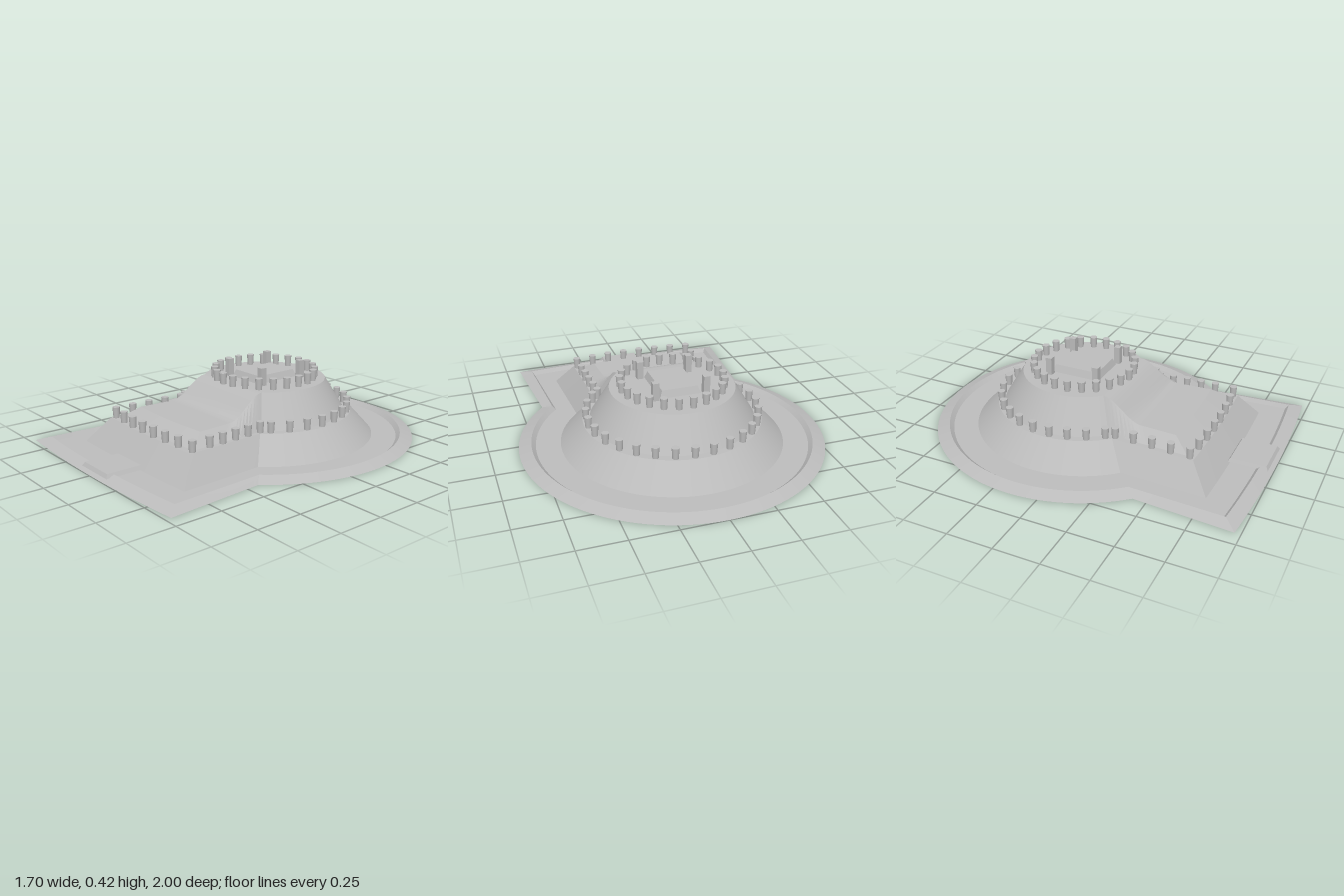
import * as THREE from 'three';
import { toCreasedNormals } from 'three/addons/utils/BufferGeometryUtils.js';

const CZ = -0.15; // centre of the round part
const ARC = 80, SIDE = 18, FRONT = 12;
const SUMMIT = 0.32, TERRACE = 0.14, FLOOR = 0.003;

// Closed keyhole outline: round back, waist, flared sides and a gently bowed front.
function outline(R, waist, frontX, frontZ, bow, height) {
  const pts = [];
  const add = (x, z) => pts.push([x, typeof height === 'function' ? height(z) : height, z]);
  const phi = Math.acos(waist / R);
  const waistZ = CZ + R * Math.sin(phi);
  for (let i = 0; i <= ARC; i++) {
    const a = -phi + (Math.PI + 2 * phi) * i / ARC;
    add(R * Math.cos(a), CZ - R * Math.sin(a));
  }
  const side = (s, t) => add(s * THREE.MathUtils.lerp(waist, frontX, t), THREE.MathUtils.lerp(waistZ, frontZ, t));
  for (let i = 1; i <= SIDE; i++) side(-1, i / SIDE);
  for (let i = 1; i < FRONT; i++) {
    const u = -1 + 2 * i / FRONT;
    add(u * frontX, frontZ + bow * (1 - u * u));
  }
  for (let i = SIDE; i >= 1; i--) side(1, i / SIDE);
  return pts;
}

function fromTriangles(tris) {
  const g = new THREE.BufferGeometry();
  g.setAttribute('position', new THREE.Float32BufferAttribute(tris.flat(2), 3));
  return toCreasedNormals(g, 0.33);
}

// Bands between successive outlines, ordered from outside to inside.
function loft(rings) {
  const tris = [];
  for (let r = 0; r + 1 < rings.length; r++) {
    const a = rings[r], b = rings[r + 1], n = a.length;
    for (let i = 0; i < n; i++) {
      const j = (i + 1) % n;
      tris.push([a[i], a[j], b[j]], [a[i], b[j], b[i]]);
    }
  }
  return tris;
}

// Round summit, ramp and front platform, closing the uppermost outline.
function capTop(ring) {
  const tris = [], n = ring.length, centre = [0, SUMMIT, CZ];
  for (let i = 0; i < ARC; i++) tris.push([centre, ring[i], ring[i + 1]]);
  tris.push([centre, ring[ARC], ring[0]]);
  const left = i => ring[ARC + i], right = i => ring[(n - i) % n];
  for (let i = 0; i < SIDE; i++) {
    tris.push([left(i), left(i + 1), right(i + 1)], [left(i), right(i + 1), right(i)]);
  }
  const first = ARC + SIDE;
  for (let i = 1; i < FRONT; i++) tris.push([ring[first], ring[first + i], ring[first + i + 1]]);
  return tris;
}

// Box with a smaller top.
function taperedBox(w, h, d, inset) {
  const g = new THREE.BoxGeometry(w, h, d).toNonIndexed();
  const p = g.attributes.position;
  for (let i = 0; i < p.count; i++) {
    if (p.getY(i) > 0) {
      p.setX(i, p.getX(i) - Math.sign(p.getX(i)) * inset);
      p.setZ(i, p.getZ(i) - Math.sign(p.getZ(i)) * inset);
    }
  }
  g.computeVertexNormals();
  return g;
}

export function createModel() {
  const model = new THREE.Group();
  model.name = 'keyholeMound';
  const earth = new THREE.MeshStandardMaterial({ color: 0xbbbbbb, side: THREE.DoubleSide });
  earth.name = 'grey earth';
  const soil = new THREE.MeshStandardMaterial({ color: 0x6b6150 });
  soil.name = 'dark soil';

  const add = (name, geometry, material, x = 0, y = 0, z = 0, parent = model) => {
    const m = new THREE.Mesh(geometry, material);
    m.name = name;
    m.position.set(x, y, z);
    parent.add(m);
    return m;
  };

  // Low outer bank around the moat
  const moatEdge = outline(0.757, 0.553, 0.585, 0.885, 0.025, FLOOR);
  add('outerBank', fromTriangles(loft([
    outline(0.85, 0.625, 0.667, 0.968, 0.03, 0),
    outline(0.78, 0.573, 0.6, 0.902, 0.027, 0.025),
    moatEdge,
  ])), earth);

  // Moat floor and its dark underside
  const moundFoot = outline(0.62, 0.448, 0.47, 0.757, 0.01, FLOOR);
  add('moatFloor', fromTriangles(loft([moatEdge, moundFoot])), earth);
  add('moatUnderside', fromTriangles(loft([moundFoot, moatEdge])), soil, 0, -0.002);

  // Lower tier with its terrace
  const terraceInner = outline(0.455, 0.335, 0.347, 0.605, 0.018, TERRACE);
  add('lowerTier', fromTriangles(loft([
    moundFoot,
    outline(0.495, 0.36, 0.375, 0.648, 0.01, TERRACE),
    terraceInner,
  ])), earth);

  // Upper tier: round summit sloping down to the front platform
  const rampHeight = z => SUMMIT - 0.12 * THREE.MathUtils.smoothstep(z, 0.089, 0.31);
  const topRing = outline(0.345, 0.25, 0.275, 0.515, 0.012, rampHeight);
  add('upperTier', fromTriangles([...loft([terraceInner, topRing]), ...capTop(topRing)]), earth);

  // Clay cylinders, slightly wider at the top
  const jar = new THREE.CylinderGeometry(0.021, 0.017, 0.062, 12);
  const summitJars = new THREE.Group();
  summitJars.name = 'summitJars';
  const terraceJars = new THREE.Group();
  terraceJars.name = 'terraceJars';
  model.add(summitJars, terraceJars);
  for (let k = 0; k < 23; k++) {
    const a = k / 23 * Math.PI * 2;
    add('summitJar', jar, earth, 0.285 * Math.cos(a), SUMMIT + 0.031, CZ - 0.285 * Math.sin(a), summitJars);
  }
  const terraceJar = (x, z) => add('terraceJar', jar, earth, x, TERRACE + 0.031, z, terraceJars);
  for (let k = -3; k <= 18; k++) {
    const a = THREE.MathUtils.degToRad(12.2 * k);
    terraceJar(0.475 * Math.cos(a), CZ - 0.475 * Math.sin(a));
  }
  for (let i = 0; i < 5; i++) {
    terraceJar(0.343 + 0.003 * i, 0.175 + 0.085 * i);
    if (i < 4) terraceJar(-0.343 - 0.004 * i, 0.2 + 0.106 * i);
  }
  for (let i = 0; i < 8; i++) {
    const x = -0.357 + 0.102 * i;
    terraceJar(x, 0.649 - 0.2 * x * x);
  }

  // Altar platform on the summit with four corner posts
  add('altar', taperedBox(0.23, 0.04, 0.285, 0.015), earth, 0, SUMMIT + 0.02, CZ);
  const post = new THREE.BoxGeometry(0.035, 0.1, 0.035);
  for (const sx of [-1, 1]) for (const sz of [-1, 1]) {
    add('cornerPost', post, earth, 0.142 * sx, SUMMIT + 0.05, CZ + 0.142 * sz);
  }

  // Causeway slab across the front of the moat
  add('causeway', taperedBox(0.244, 0.02, 0.22, 0.012), earth, 0, 0.023, 0.865);

  return model;
}
